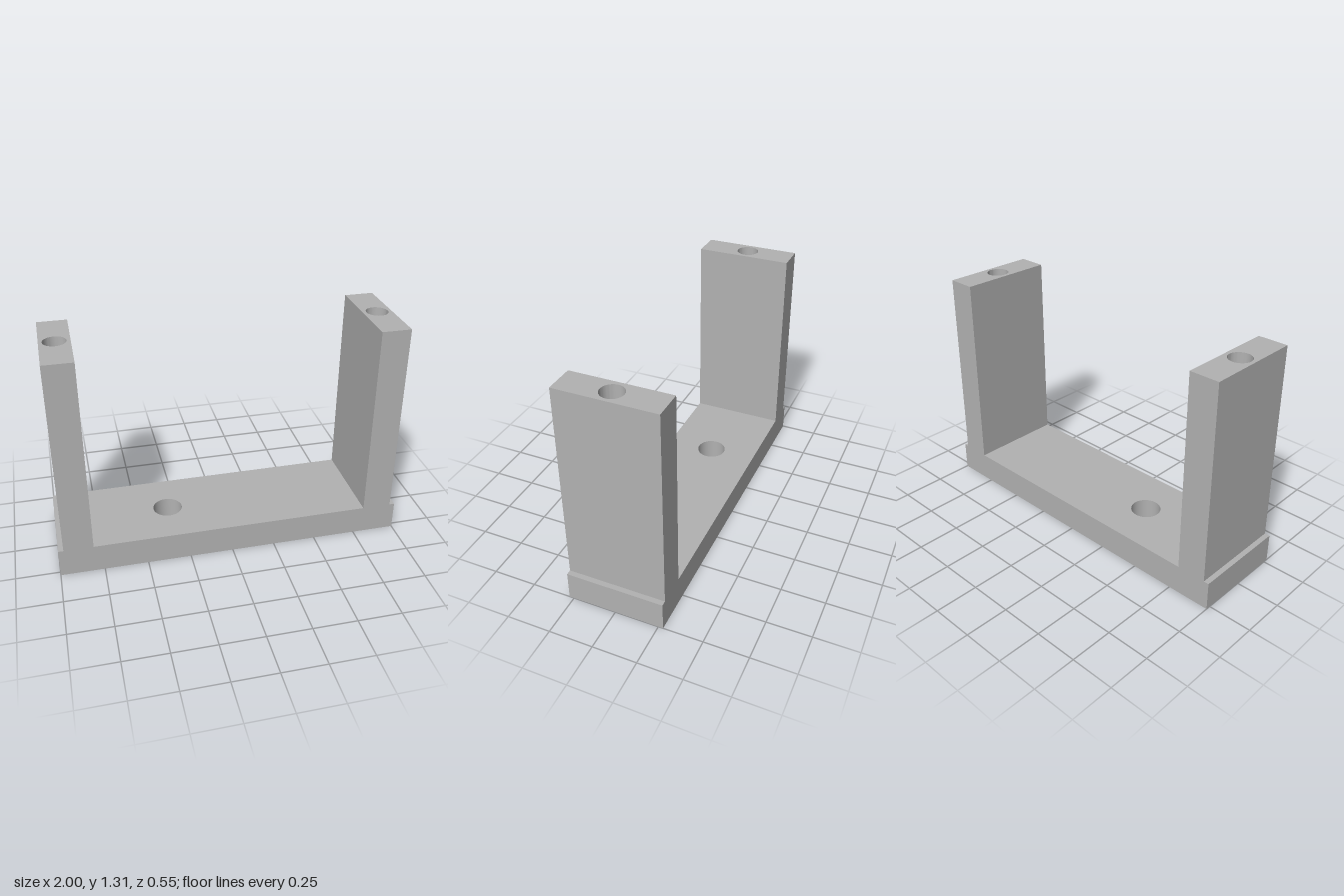
import * as THREE from 'three';
import { toCreasedNormals, mergeGeometries } from 'three/addons/utils/BufferGeometryUtils.js';

const DEPTH = 0.277, BASE_TOP = 0.167, LEG_TOP = 1.306;
const LEG_IN = 0.803, LEG_OUT = 0.97, LEG_HOLE = { x: 0.887, r: 0.063 };
const BOLT_HOLE = { x: -0.336, r: 0.085 };

// Plan outline from x0 to x1 with round holes on the centre line
function plan(x0, x1, holes = []) {
  const shape = new THREE.Shape([
    new THREE.Vector2(x0, -DEPTH), new THREE.Vector2(x1, -DEPTH),
    new THREE.Vector2(x1, DEPTH), new THREE.Vector2(x0, DEPTH),
  ]);
  for (const { x, r } of holes) {
    shape.holes.push(new THREE.Path().absarc(x, 0, r, 0, Math.PI * 2, true));
  }
  return shape;
}

// Upright prism open at the top or the bottom, so that joined parts hide no faces
function prism(shape, y0, y1, openEnd) {
  const solid = new THREE.ExtrudeGeometry(shape, { depth: y1 - y0, bevelEnabled: false, curveSegments: 24 });
  const half = solid.groups[0].count / 2;
  const from = openEnd === 'top' ? half : 0;
  for (const name of ['position', 'normal', 'uv']) {
    const attr = solid.getAttribute(name), n = attr.itemSize, list = Array.from(attr.array);
    list.splice(from * n, half * n);
    solid.setAttribute(name, new THREE.Float32BufferAttribute(list, n));
  }
  solid.clearGroups();
  solid.rotateX(-Math.PI / 2).translate(0, y0, 0);
  return toCreasedNormals(solid, 0.5);
}

// Flat face looking up
function floor(shape, y) {
  return new THREE.ShapeGeometry(shape, 24).rotateX(-Math.PI / 2).translate(0, y, 0).toNonIndexed();
}

export function createModel() {
  const group = new THREE.Group();
  const grey = new THREE.MeshStandardMaterial({ color: 0xb2b2b2 });
  grey.name = 'grey';
  const add = (name, geometry) => {
    const mesh = new THREE.Mesh(geometry, grey);
    mesh.name = name;
    group.add(mesh);
  };
  const legHole = (side) => ({ x: side * LEG_HOLE.x, r: LEG_HOLE.r });

  // Base plate with its floor and the narrow ledges outside the legs
  add('basePlate', mergeGeometries([
    prism(plan(-1, 1, [legHole(-1), BOLT_HOLE, legHole(1)]), 0, BASE_TOP, 'top'),
    floor(plan(-LEG_IN, LEG_IN, [BOLT_HOLE]), BASE_TOP),
    floor(plan(-1, -LEG_OUT), BASE_TOP),
    floor(plan(LEG_OUT, 1), BASE_TOP),
  ]));

  // Upright legs, bored through from top to bottom
  for (const side of [-1, 1]) {
    const [x0, x1] = side < 0 ? [-LEG_OUT, -LEG_IN] : [LEG_IN, LEG_OUT];
    add(side < 0 ? 'rightLeg' : 'leftLeg', prism(plan(x0, x1, [legHole(side)]), BASE_TOP, LEG_TOP, 'bottom'));
  }
  return group;
}
